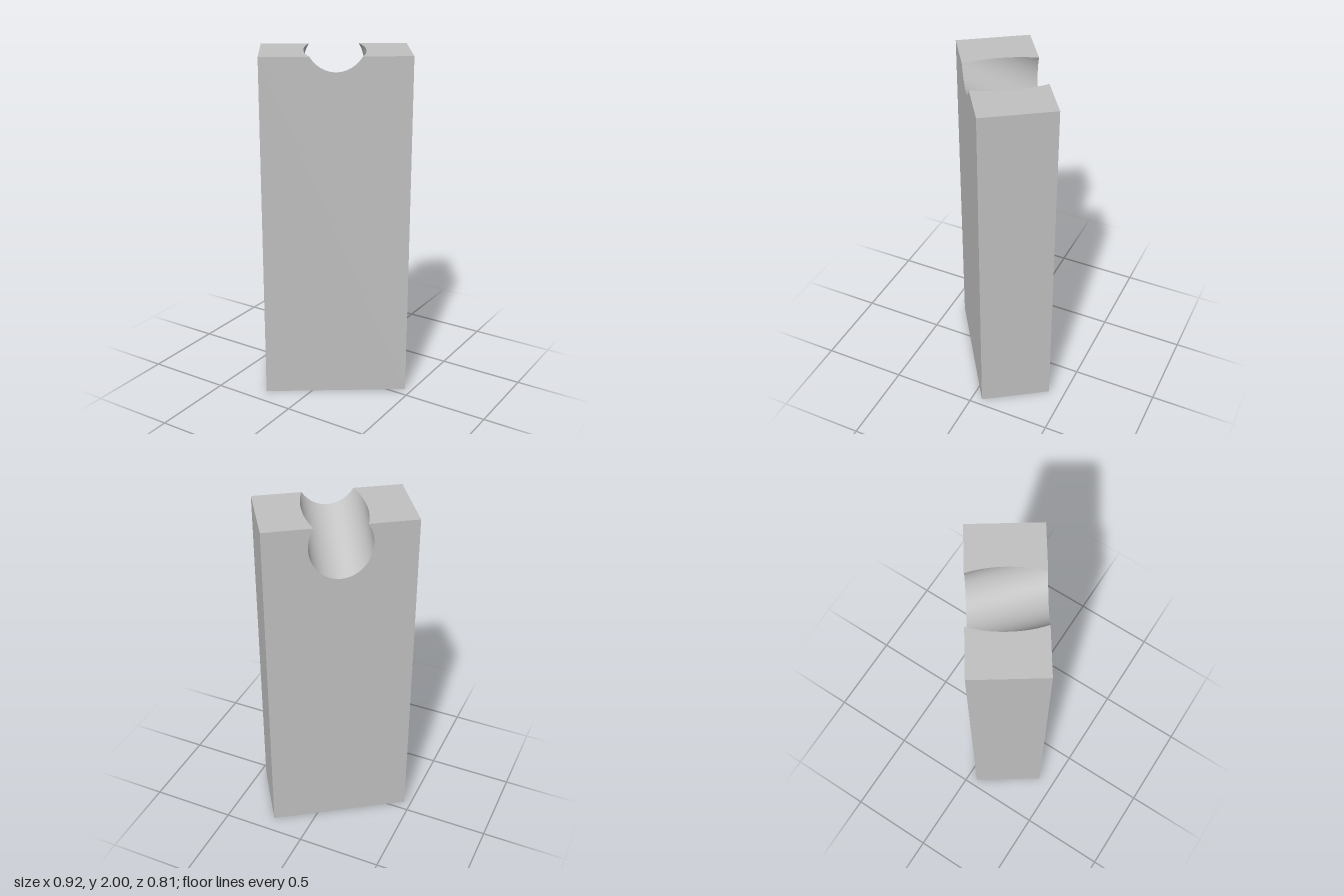
import * as THREE from 'three';
import { ParametricGeometry } from 'three/addons/geometries/ParametricGeometry.js';

const HX = 0.4145, HZ = 0.208, H = 2;      // half width, half depth, height
const R = 0.173, TILT = 28.5 * Math.PI / 180; // round groove and its slope
const ARC = 64, STEPS = 40;

// half angle of the groove arc below the top, at depth z
const halfAngle = z => Math.acos(z * Math.sin(TILT) / R);
const rim = z => R * Math.sin(halfAngle(z));

// point of the groove at depth z, s runs 0..1 from left rim to right rim
function groovePoint(s, z) {
  const a = (2 * s - 1) * halfAngle(z);
  return [R * Math.sin(a), H + z * Math.tan(TILT) - R / Math.cos(TILT) * Math.cos(a), z];
}

export function createModel() {
  const group = new THREE.Group();
  group.name = 'groovedBlock';
  const grey = new THREE.MeshStandardMaterial({ color: 0xc0c0c0 });
  grey.name = 'plain grey';

  const add = (name, geometry) => {
    const mesh = new THREE.Mesh(geometry, grey);
    mesh.name = name;
    group.add(mesh);
    return mesh;
  };
  const sheet = (name, fn, slices = 1, stacks = 1) =>
    add(name, new ParametricGeometry((s, t, p) => p.set(...fn(s, t)), slices, stacks));
  const lerp = THREE.MathUtils.lerp;
  const depth = t => lerp(HZ, -HZ, t);

  // sloping round groove through the top
  sheet('groove', (s, t) => groovePoint(s, depth(t)), ARC, STEPS);

  // top faces on both sides of the groove
  sheet('topLeft', (s, t) => [lerp(rim(depth(t)), HX, s), H, depth(t)], 1, STEPS);
  sheet('topRight', (s, t) => [lerp(-HX, -rim(depth(t)), s), H, depth(t)], 1, STEPS);

  // ends and underside
  sheet('leftEnd', (s, t) => [HX, s * H, lerp(-HZ, HZ, t)]);
  sheet('rightEnd', (s, t) => [-HX, t * H, lerp(-HZ, HZ, s)]);
  sheet('underside', (s, t) => [lerp(-HX, HX, s), 0, lerp(-HZ, HZ, t)]);

  // broad faces, notched where the groove comes out
  for (const side of [1, -1]) {
    const shape = new THREE.Shape();
    shape.moveTo(-HX, 0);
    shape.lineTo(HX, 0);
    shape.lineTo(HX, H);
    for (let i = ARC; i >= 0; i--) {
      const [x, y] = groovePoint(i / ARC, side * HZ);
      shape.lineTo(x, y);
    }
    shape.lineTo(-HX, H);
    shape.closePath();
    const face = add(side > 0 ? 'frontFace' : 'backFace', new THREE.ShapeGeometry(shape));
    face.position.z = side * HZ;
    if (side < 0) face.rotation.y = Math.PI;
  }

  group.rotation.y = 34.3 * Math.PI / 180;
  return group;
}
